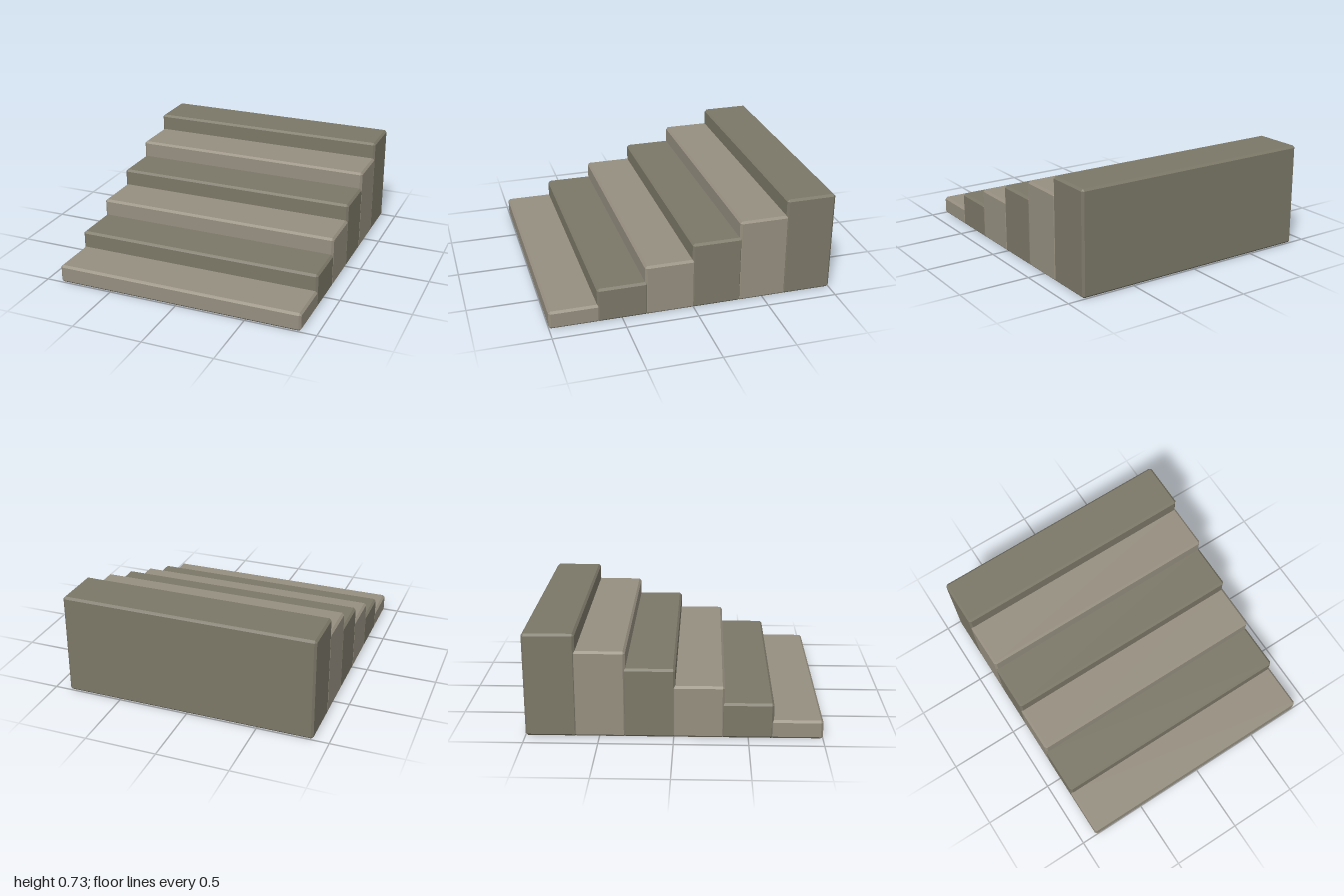
import * as THREE from 'three';
import { ConvexGeometry } from 'three/addons/geometries/ConvexGeometry.js';

// Box with all twelve edges cut at 45 degrees
function chamferedBox(w, h, d, c) {
  const points = [];
  for (const x of [-1, 1]) for (const y of [-1, 1]) for (const z of [-1, 1]) {
    for (let axis = 0; axis < 3; axis++) {
      // each corner becomes three points, one on each adjoining face
      const inset = [c, c, c];
      inset[axis] = 0;
      points.push(new THREE.Vector3(
        x * (w / 2 - inset[0]), y * (h / 2 - inset[1]), z * (d / 2 - inset[2])));
    }
  }
  return new ConvexGeometry(points);
}

export function createModel() {
  const group = new THREE.Group();
  group.name = 'staircase';

  const stones = [0x968f80, 0x7c7868].map(
    (color) => new THREE.MeshStandardMaterial({ color, flatShading: true }));

  const count = 6, width = 1.78, depth = 0.35, chamfer = 0.015;
  const run = (2 - depth) / (count - 1);
  const firstHeight = 0.13, rise = 0.119;

  // Full-height blocks, rising towards the back in alternating shades
  for (let i = 0; i < count; i++) {
    const height = firstHeight + rise * i;
    const step = new THREE.Mesh(chamferedBox(width, height, depth, chamfer), stones[i % 2]);
    step.name = `step${i + 1}`;
    step.position.set(0, height / 2, 1 - depth / 2 - run * i);
    group.add(step);
  }
  return group;
}
